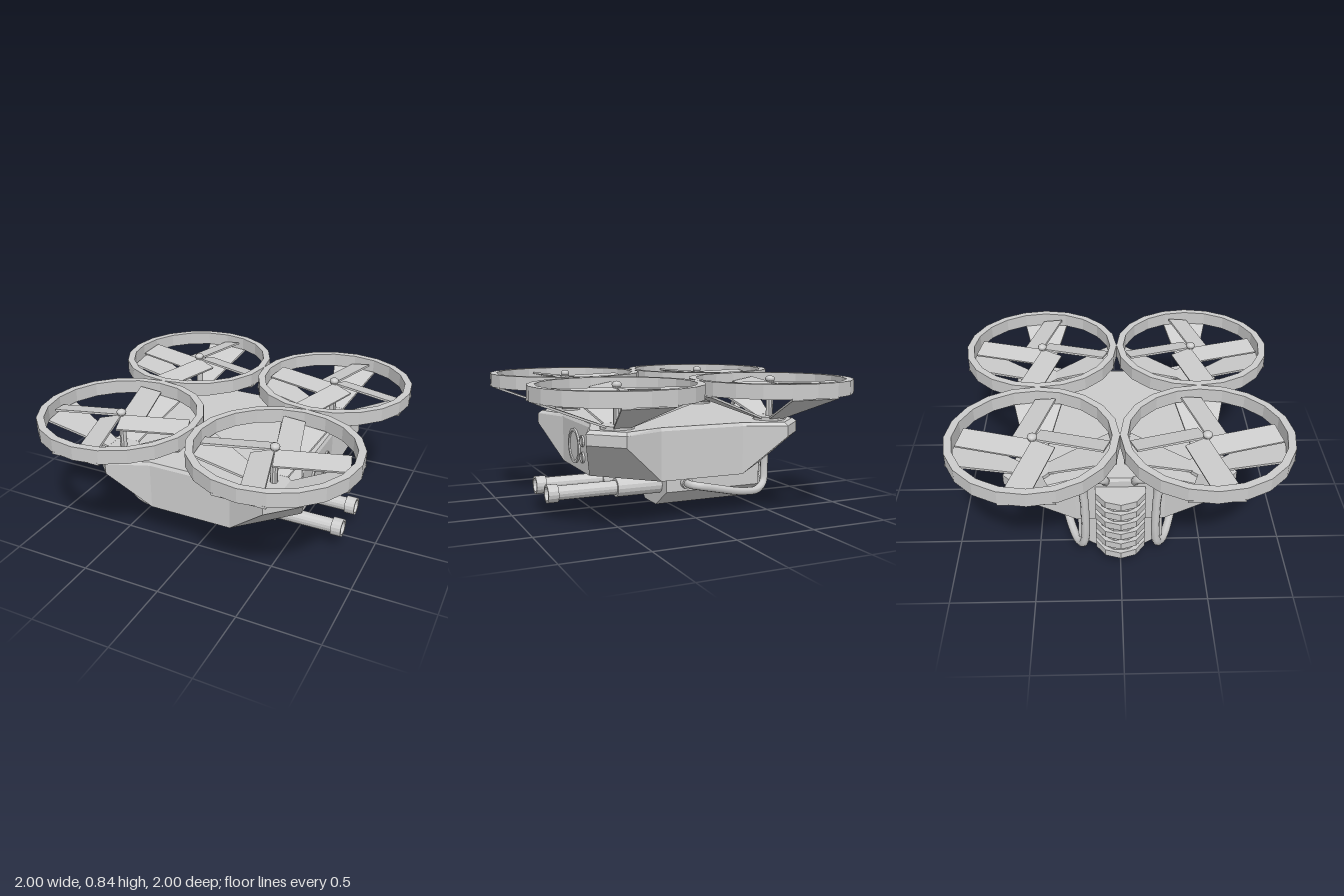
import * as THREE from 'three';

const flat = new THREE.MeshStandardMaterial({ color: 0xcccccc, flatShading: true });
const smooth = new THREE.MeshStandardMaterial({ color: 0xcccccc });

function add(parent, name, geometry, material = flat) {
  const mesh = new THREE.Mesh(geometry, material);
  mesh.name = name;
  parent.add(mesh);
  return mesh;
}

// Skin between rings of [x, y, z] points, bottom to top, counter-clockwise from above; ends capped
function loft(rings) {
  const out = [];
  const n = rings[0].length;
  const centre = (ring) => [0, 1, 2].map((k) => ring.reduce((s, p) => s + p[k], 0) / n);
  const low = rings[0], high = rings[rings.length - 1];
  const cLow = centre(low), cHigh = centre(high);
  for (let i = 0; i < n; i++) {
    const j = (i + 1) % n;
    for (let r = 0; r + 1 < rings.length; r++) {
      const a = rings[r][i], b = rings[r][j], c = rings[r + 1][j], d = rings[r + 1][i];
      out.push(...a, ...b, ...c, ...a, ...c, ...d);
    }
    out.push(...cLow, ...low[j], ...low[i], ...cHigh, ...high[i], ...high[j]);
  }
  const g = new THREE.BufferGeometry();
  g.setAttribute('position', new THREE.Float32BufferAttribute(out, 3));
  g.computeVertexNormals();
  return g;
}

// Hull level: one quarter outline turned four times
function hullRing(y, quarter) {
  const ring = [];
  for (let k = 0; k < 4; k++) {
    for (const [px, ps] of quarter) {
      let x = px, s = ps;
      for (let t = 0; t < k; t++) [x, s] = [-s, x];
      ring.push([x, y, -s]);
    }
  }
  return ring;
}

function lathe(points, segments) {
  return new THREE.LatheGeometry(points.map(([r, y]) => new THREE.Vector2(r, y)), segments);
}

// Ducted rotor: ring, four struts, shaft and pinwheel blades; spin is the handedness
function makeRotor(spin) {
  const rotor = new THREE.Group();
  rotor.name = 'rotor';
  add(rotor, 'ductRing', lathe(
    [[0.455, 0.745], [0.5, 0.745], [0.5, 0.83], [0.455, 0.83], [0.455, 0.745]], 20));
  add(rotor, 'mountPlate', new THREE.CylinderGeometry(0.1, 0.1, 0.025, 12).translate(0, 0.584, 0));
  add(rotor, 'shaft', new THREE.CylinderGeometry(0.022, 0.022, 0.25, 10).translate(0, 0.7, 0));
  add(rotor, 'hubCap', new THREE.SphereGeometry(0.03, 10, 6).scale(1, 0.7, 1).translate(0, 0.822, 0), smooth);

  const level = (dy) => [
    [0.08, 0.583 + dy, 0.05], [0.48, 0.738 + dy, 0.155],
    [0.48, 0.738 + dy, -0.155], [0.08, 0.583 + dy, -0.05]];
  const strut = loft([level(0), level(0.014)]);
  const blade = new THREE.BoxGeometry(0.42, 0.012, 0.138)
    .translate(0.212, 0, -spin * 0.069)
    .rotateX(-spin * 0.22)
    .rotateY(-spin * 0.28)
    .translate(0, 0.8, 0);
  for (let k = 0; k < 4; k++) {
    add(rotor, 'strut', strut).rotation.y = k * Math.PI / 2;
    add(rotor, 'blade', blade).rotation.y = k * Math.PI / 2;
  }
  return rotor;
}

export function createModel() {
  const model = new THREE.Group();
  model.name = 'drone';

  // Hull with four flared corners that narrow to a plain octagon at the bottom
  const a = [0.59, 0.265], d = [0.265, 0.59];
  const flare = [a, [0.69, 0.515], [0.515, 0.69], d];
  add(model, 'hull', loft([
    hullRing(0.265, [a, a, d, d]),
    hullRing(0.49, flare),
    hullRing(0.555, flare),
    hullRing(0.575, [[0.58, 0.262], [0.665, 0.505], [0.505, 0.665], [0.262, 0.58]]),
  ]));

  // Rotors above the corners
  for (const x of [-0.5, 0.5]) {
    for (const z of [-0.5, 0.5]) {
      const rotor = makeRotor(z < 0 ? 1 : -1);
      rotor.position.set(x, 0, z);
      model.add(rotor);
    }
  }

  // Belly pod with a keel-like underside
  const section = new THREE.Shape([[-0.255, 0.27], [-0.255, 0.11], [-0.09, 0], [0.09, 0], [0.255, 0.11], [0.255, 0.27]]
    .map(([x, y]) => new THREE.Vector2(x, y)));
  add(model, 'bellyPod', new THREE.ExtrudeGeometry(section, { depth: 0.665, bevelEnabled: false })
    .rotateY(Math.PI / 2).translate(-0.58, 0, 0));

  // Stepped barrels with open muzzles, and the hoses on each side
  const barrel = lathe([[0, 0], [0.06, 0], [0.06, 0.3], [0.045, 0.3], [0.045, 0.675], [0.057, 0.675],
    [0.057, 0.74], [0.043, 0.74], [0.043, 0.5], [0, 0.5]], 16).rotateZ(-Math.PI / 2);
  for (const side of [1, -1]) {
    add(model, 'barrel', barrel).position.set(0.08, 0.147, side * 0.135);

    const path = new THREE.CatmullRomCurve3([
      [-0.05, 0.165, 0.24], [-0.05, 0.165, 0.34], [-0.09, 0.16, 0.37], [-0.22, 0.13, 0.355],
      [-0.42, 0.085, 0.31], [-0.57, 0.075, 0.26], [-0.635, 0.11, 0.225], [-0.65, 0.2, 0.21],
      [-0.65, 0.42, 0.21], [-0.645, 0.57, 0.21], [-0.64, 0.612, 0.155], [-0.62, 0.595, 0.1], [-0.57, 0.54, 0.085],
    ].map(([x, y, z]) => new THREE.Vector3(x, y, side * z)));
    add(model, 'hose', new THREE.TubeGeometry(path, 60, 0.026, 8), smooth);
    add(model, 'hoseFitting', new THREE.CylinderGeometry(0.038, 0.038, 0.04, 12).rotateX(Math.PI / 2))
      .position.set(-0.05, 0.165, side * 0.27);
  }

  // Ribbed cooling column at the rear end
  add(model, 'coolerCore', new THREE.CylinderGeometry(0.135, 0.135, 0.42, 10).translate(-0.59, 0.3, 0));
  for (let i = 0; i < 6; i++) {
    add(model, 'coolerRib', new THREE.CylinderGeometry(0.155, 0.155, 0.045, 10).rotateY(Math.PI / 10))
      .position.set(-0.595, 0.108 + i * 0.077, 0);
  }

  // Sensor lenses on the nose: one large with a rim, two small
  const lens = (name, r, rim, y, z) => add(model, name,
    lathe([[0, 0], [r, 0], [r, 0.014], [r - rim, 0.014], [r - rim, 0.005], [0, 0.005]], 16)
      .rotateZ(-Math.PI / 2)).position.set(0.588, y, z);
  lens('mainLens', 0.11, 0.018, 0.405, 0.01);
  lens('smallLens', 0.035, 0.007, 0.455, -0.15);
  lens('smallLens', 0.035, 0.007, 0.355, -0.15);

  return model;
}
